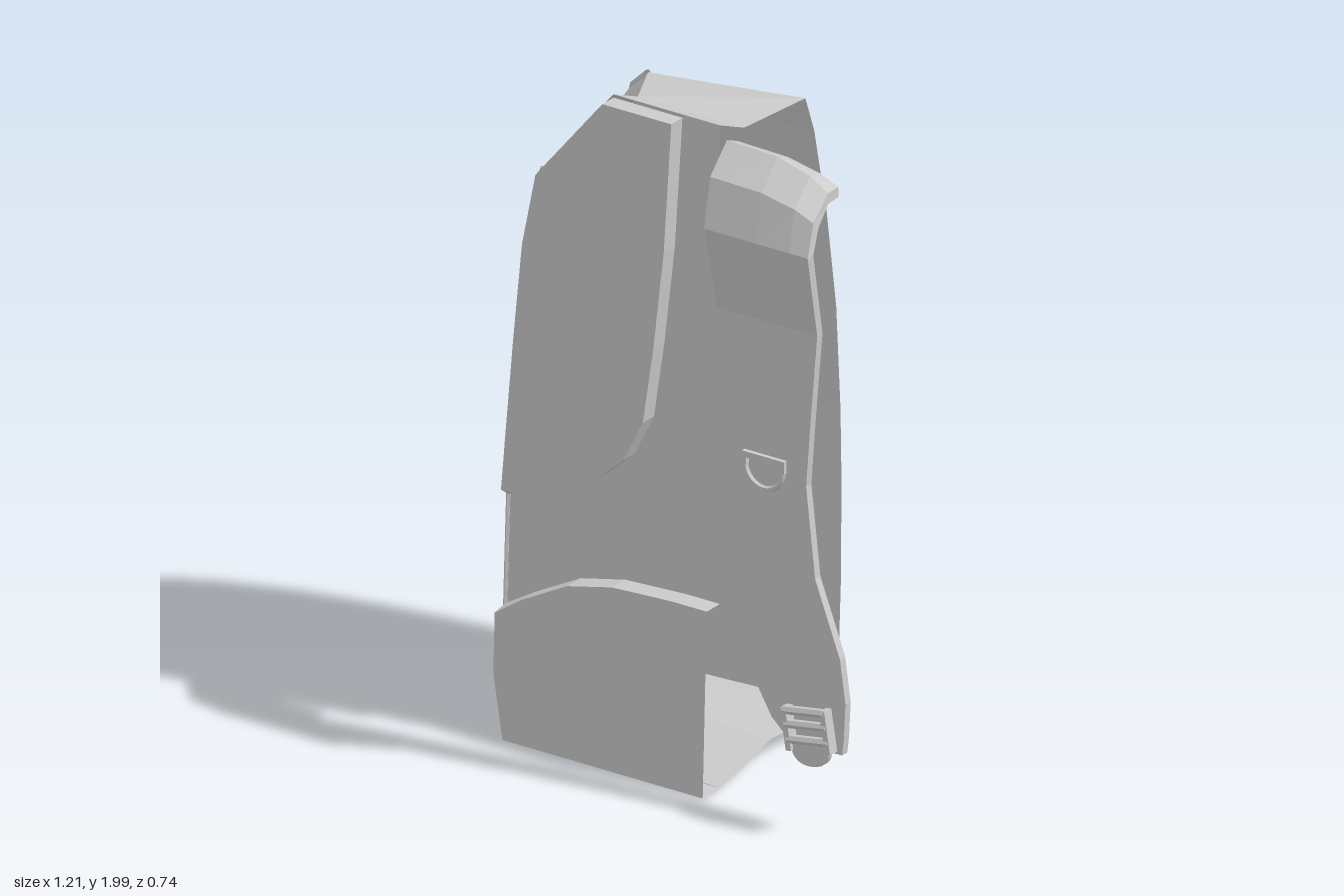
import * as THREE from 'three';

const X0 = 0.115; // plane of the open cut
const ZF = 0.205; // front plane of the shell
const mat = new THREE.MeshStandardMaterial({ color: 0xcccccc, flatShading: true, side: THREE.DoubleSide });

function add(parent, name, geo) {
  const m = new THREE.Mesh(geo, mat);
  m.name = name;
  parent.add(m);
  return m;
}

// Faceted surface through rows of [x, y, z] points
function surface(rows, closed = false) {
  const n = rows[0].length, pos = rows.flat(2), idx = [];
  for (let r = 0; r < rows.length - 1; r++) {
    for (let c = 0; c < (closed ? n : n - 1); c++) {
      const a = r * n + c, b = r * n + ((c + 1) % n);
      idx.push(a, a + n, b, b, a + n, b + n);
    }
  }
  const g = new THREE.BufferGeometry();
  g.setAttribute('position', new THREE.Float32BufferAttribute(pos, 3));
  g.setIndex(idx);
  const flat = g.toNonIndexed();
  flat.computeVertexNormals();
  return flat;
}

function flatPanel(points, z) {
  const g = new THREE.ShapeGeometry(new THREE.Shape(points.map(([x, y]) => new THREE.Vector2(x, y))));
  const p = g.attributes.position;
  for (let i = 0; i < p.count; i++) p.setZ(i, typeof z === 'function' ? z(p.getY(i)) : z);
  g.computeVertexNormals();
  return g;
}

function piping(points, radius) {
  const path = new THREE.CurvePath();
  const v = points.map(p => new THREE.Vector3(...p));
  for (let i = 1; i < v.length; i++) path.add(new THREE.LineCurve3(v[i - 1], v[i]));
  return new THREE.TubeGeometry(path, 40, radius, 5);
}

function createBag() {
  const bag = new THREE.Group();
  bag.name = 'bagHalf';

  // Seams from top to bottom: front corner, middle of the side, back corner
  const front = [[-0.24, 2], [-0.475, 1.72], [-0.52, 1.5], [-0.55, 1.2], [-0.575, 0.92], [-0.59, 0.71],
    [-0.6, 0.38], [-0.6, 0.2], [-0.57, 0.015]].map(([x, y]) => [x, y, ZF]);
  const middle = [[-0.24, 1.95, 0.09], [-0.49, 1.69, 0], [-0.53, 1.54, -0.03], [-0.56, 1.23, -0.04], [-0.58, 0.93, -0.04],
    [-0.595, 0.72, -0.04], [-0.605, 0.4, -0.04], [-0.6, 0.25, -0.04], [-0.575, 0.07, -0.04]];
  const back = [[-0.41, 1.87, -0.2], [-0.485, 1.8, -0.225], [-0.54, 1.53, -0.285], [-0.57, 1.23, -0.33], [-0.582, 0.92, -0.35],
    [-0.59, 0.7, -0.355], [-0.595, 0.4, -0.352], [-0.59, 0.25, -0.345], [-0.575, 0.03, -0.335]];
  const backCut = back.map(([, y, z], i) => [X0, i ? y + 0.02 : 1.93, i ? z - 0.016 : z]);

  add(bag, 'sidePanel', surface(front.map((p, i) => [p, middle[i], back[i]])));
  add(bag, 'backPanel', surface(back.map((p, i) => [p, backCut[i]])));
  add(bag, 'topPanel', surface([[[X0, 2, ZF], front[0]], [[X0, 1.95, 0.09], middle[0]], [backCut[0], back[0]]]));
  add(bag, 'bottomPanel', surface([[[X0, 0.015, ZF], front[8]], [[X0, 0.07, -0.04], middle[8]], [backCut[8], back[8]]]));
  add(bag, 'frontPiping', piping(front.slice(1), 0.007));
  add(bag, 'backPiping', piping(back, 0.009));

  // Curved borders of the raised panels
  const padEdge = [[-0.45, 0.75], [-0.26, 0.86], [-0.17, 0.94], [-0.105, 1.07], [-0.07, 1.3],
    [-0.035, 1.6], [-0.01, 1.99]];
  const pocketEdge = [[-0.5, 0.44], [-0.35, 0.52], [-0.2, 0.555], [0, 0.565], [X0, 0.565]];
  const outer = front.map(p => [p[0], p[1]]);

  // Flat part of the front between the pad and the pocket
  add(bag, 'frontPanel', flatPanel([[X0, 2], [-0.01, 2], ...padEdge.slice().reverse(), outer[5], outer[6], ...pocketEdge], ZF));

  // Raised panel: wall from the shell out to a cap, the cap border pulled in at the outer seam
  function raised(name, seam, rest, zTop, closed) {
    const base = [...seam, ...rest];
    const cap = base.map(([x, y], i) => [i < seam.length && x < -0.3 ? x + 0.012 : x, y]);
    if (closed) cap[seam.length - 1][1] += 0.035;
    add(bag, name, flatPanel(cap, zTop));
    add(bag, name + 'Wall', surface([base.map(([x, y]) => [x, y, ZF]), cap.map(([x, y]) => [x, y, zTop(y)])], closed));
  }
  raised('backRestPad', [[-0.24, 1.99], ...outer.slice(1, 6)], padEdge, () => 0.258, true);
  raised('lowerPocket', [[X0, 0.012], [-0.565, 0.012], ...outer.slice(6, 8).reverse()], pocketEdge,
    y => 0.287 - 0.035 * y, false);
  return bag;
}

function createStrap() {
  const strap = new THREE.Group();
  strap.name = 'shoulderStrap';

  // Rows: left x, right x, y, outer z, inner y, inner z, droop of the right edge
  const rows = [
    [0.17, 0.505, 1.965, 0.198, 1.935, 0.198, 0.05], [0.17, 0.508, 1.987, 0.25, 1.955, 0.25, 0.07],
    [0.174, 0.518, 1.91, 0.335, 1.885, 0.312, 0.05], [0.18, 0.525, 1.77, 0.372, 1.77, 0.345, 0],
    [0.18, 0.512, 1.51, 0.308, 1.51, 0.283, 0], [0.15, 0.49, 1.25, 0.308, 1.25, 0.283, 0],
    [0.14, 0.475, 1.05, 0.308, 1.05, 0.283, 0], [0.155, 0.505, 0.78, 0.308, 0.78, 0.283, 0],
    [0.23, 0.588, 0.56, 0.308, 0.56, 0.283, 0], [0.302, 0.606, 0.43, 0.308, 0.43, 0.283, 0],
    [0.36, 0.601, 0.33, 0.308, 0.33, 0.283, 0], [0.42, 0.595, 0.275, 0.308, 0.275, 0.283, 0]];
  const cols = [0, 0.5, 0.82, 1], drop = [0, 0.08, 0.5, 1];
  const sections = rows.map(([l, r, y, z, yi, zi, d]) => {
    const side = (yy, zz) => cols.map((t, i) => [l + (r - l) * t, yy - d * drop[i], zz]);
    return [...side(y, z), ...side(yi, zi).reverse()];
  });
  add(strap, 'strapPad', surface(sections, true));
  for (const s of [sections[0], sections[sections.length - 1]]) {
    add(strap, 'strapEnd', surface([s.slice(0, 4), s.slice(4).reverse()]));
  }

  // Half ring with a bar
  const ring = new THREE.Group();
  ring.name = 'dRing';
  ring.position.set(0.34, 1.075, 0.314);
  const arc = add(ring, 'ringArc', new THREE.TorusGeometry(0.063, 0.008, 6, 14, Math.PI));
  arc.rotation.z = Math.PI;
  add(ring, 'ringBar', new THREE.BoxGeometry(0.14, 0.018, 0.014)).position.y = 0.026;
  for (const s of [-1, 1]) add(ring, 'ringSide', new THREE.BoxGeometry(0.014, 0.03, 0.014)).position.set(s * 0.063, 0.012, 0);
  strap.add(ring);

  // Ladder buckle with a rounded tab
  const buckle = new THREE.Group();
  buckle.name = 'buckle';
  buckle.position.set(0.497, 0.335, 0.328);
  buckle.rotation.z = 0.16;
  for (const s of [-1, 1]) add(buckle, 'buckleSide', new THREE.BoxGeometry(0.018, 0.125, 0.034)).position.x = s * 0.066;
  for (const y of [0.055, 0.015, -0.03]) {
    const bar = add(buckle, 'buckleBar', new THREE.CylinderGeometry(0.013, 0.013, 0.14, 6));
    bar.rotation.z = Math.PI / 2;
    bar.position.set(0, y, 0.008);
  }
  const tab = new THREE.Shape();
  tab.moveTo(-0.07, -0.03);
  tab.lineTo(-0.06, -0.075);
  tab.quadraticCurveTo(-0.045, -0.107, 0, -0.107);
  tab.quadraticCurveTo(0.045, -0.107, 0.06, -0.075);
  tab.lineTo(0.07, -0.03);
  add(buckle, 'buckleTab', new THREE.ExtrudeGeometry(tab, { depth: 0.016, bevelEnabled: false, curveSegments: 5 })).position.z = -0.01;
  strap.add(buckle);
  return strap;
}

export function createModel() {
  const model = new THREE.Group();
  model.name = 'backpackHalf';
  model.add(createBag(), createStrap());
  return model;
}
